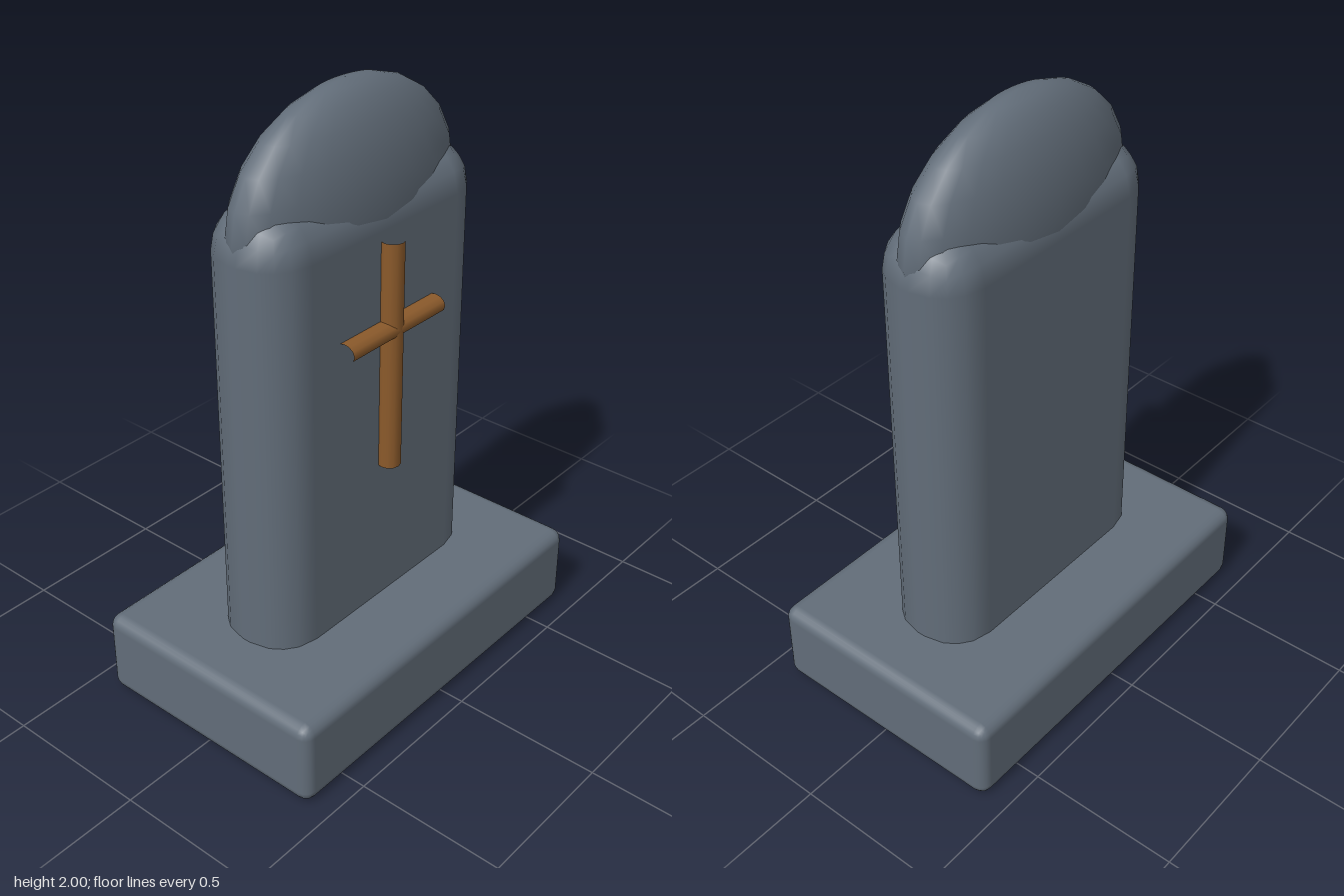
import * as THREE from 'three';
import { RoundedBoxGeometry } from 'three/addons/geometries/RoundedBoxGeometry.js';

export function createModel() {
  const stone = new THREE.MeshStandardMaterial({ color: 0x626d79 });
  stone.name = 'slate stone';
  const wood = new THREE.MeshStandardMaterial({ color: 0x8b5a2b });
  wood.name = 'brown wood';

  const model = new THREE.Group();
  model.name = 'gravestone';

  function add(name, geometry, material, x, y, z, parent = model) {
    const mesh = new THREE.Mesh(geometry, material);
    mesh.name = name;
    mesh.position.set(x, y, z);
    parent.add(mesh);
    return mesh;
  }

  // Plinth and upright slab with softened edges
  add('plinth', new RoundedBoxGeometry(1.36, 0.29, 0.86, 2, 0.04), stone, 0, 0.145, 0);
  add('slab', new RoundedBoxGeometry(0.96, 1.6, 0.33, 2, 0.15), stone, 0, 0.935, 0);

  // Flattened dome sunk into the top of the slab
  const dome = new THREE.SphereGeometry(1, 24, 12).scale(0.475, 0.357, 0.16);
  add('domedTop', dome, stone, 0, 1.643, 0);

  // Cross of two open half-sunk round bars sharing the same depth
  const cross = new THREE.Group();
  cross.name = 'cross';
  cross.position.z = 0.18;
  model.add(cross);
  const bar = (halfWidth, length) =>
    new THREE.CylinderGeometry(1, 1, length, 12, 1, true).scale(halfWidth, 1, 0.038);
  add('crossUpright', bar(0.037, 0.76), wood, 0, 1.175, 0, cross);
  add('crossArm', bar(0.03, 0.43).rotateZ(Math.PI / 2), wood, 0, 1.27, 0, cross);

  return model;
}
